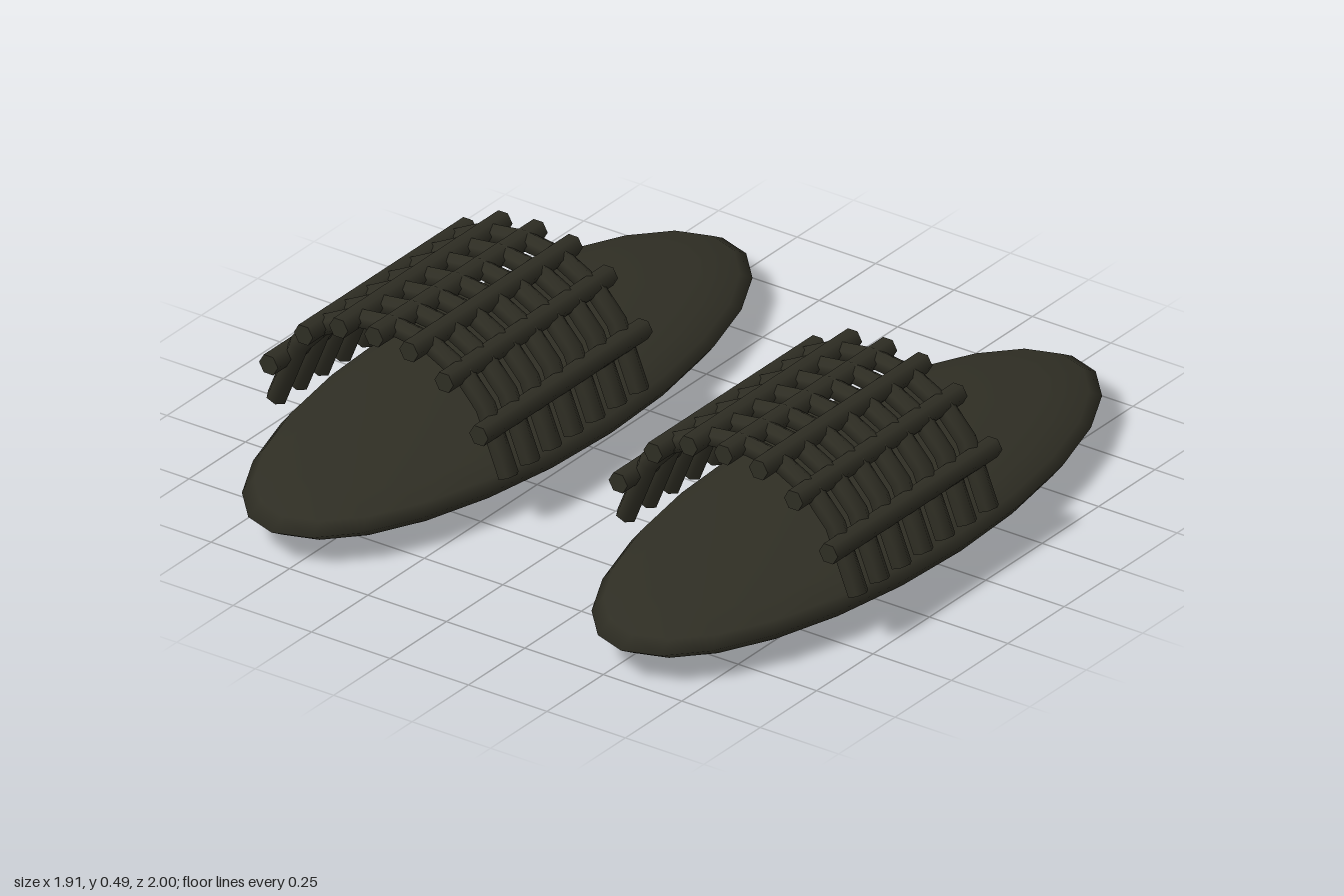
import * as THREE from 'three';
import { toCreasedNormals } from 'three/addons/utils/BufferGeometryUtils.js';

const TUBE = 0.029;

// Half of the arch centre line (offset from the shoe's middle, height)
const HALF_ARCH = [[-0.37, 0.14], [-0.297, 0.32], [-0.228, 0.395], [-0.115, 0.453]];
const ARCH = [...HALF_ARCH, [0, 0.467], ...HALF_ARCH.map(([x, y]) => [-x, y]).reverse()]
  .map(([x, y]) => new THREE.Vector2(x, y));

// Six-sided cylinder bent so that each ring sits on a point of the arch
function archGeometry() {
  const n = ARCH.length - 1;
  const geo = new THREE.CylinderGeometry(TUBE, TUBE, n, 6, n, false, Math.PI / 2);
  const pos = geo.attributes.position;
  for (let i = 0; i < pos.count; i++) {
    const k = Math.round(pos.getY(i) + n / 2);
    const p = ARCH[k];
    const t = ARCH[Math.min(k + 1, n)].clone().sub(ARCH[Math.max(k - 1, 0)]).normalize();
    const d = pos.getX(i);
    pos.setXY(i, p.x + t.y * d, p.y - t.x * d);
  }
  geo.computeVertexNormals();
  return toCreasedNormals(geo, 1.2);
}

export function createModel() {
  const model = new THREE.Group();
  model.name = 'sandals';
  const material = new THREE.MeshStandardMaterial({ color: 0x2f2e24 });
  material.name = 'dark olive';

  const soleGeo = new THREE.SphereGeometry(1, 24, 10).scale(0.382, 0.088, 1);
  const archGeo = archGeometry();
  const rodGeo = new THREE.CylinderGeometry(0.03, 0.03, 0.73, 6, 1, false, Math.PI / 2)
    .rotateX(Math.PI / 2);

  const add = (parent, name, geo, x, y, z) => {
    const mesh = new THREE.Mesh(geo, material);
    mesh.name = name;
    mesh.position.set(x, y, z);
    parent.add(mesh);
  };

  for (const side of [-1, 1]) {
    const shoe = new THREE.Group();
    shoe.name = side > 0 ? 'leftSandal' : 'rightSandal';
    shoe.position.x = side * 0.557;
    model.add(shoe);

    add(shoe, 'sole', soleGeo, 0, 0.09, 0);

    // Woven upper: arches across the foot
    for (let i = 0; i < 7; i++) add(shoe, 'archStrap', archGeo, 0, 0, -0.115 + i * 0.0965);

    // Woven upper: straight rods along the foot
    add(shoe, 'lengthStrap', rodGeo, 0, 0.468, 0.183);
    for (const [x, y] of [[0.112, 0.459], [0.224, 0.404], [0.335, 0.282]])
      for (const s of [-1, 1]) add(shoe, 'lengthStrap', rodGeo, s * x, y, 0.183);
  }
  return model;
}
